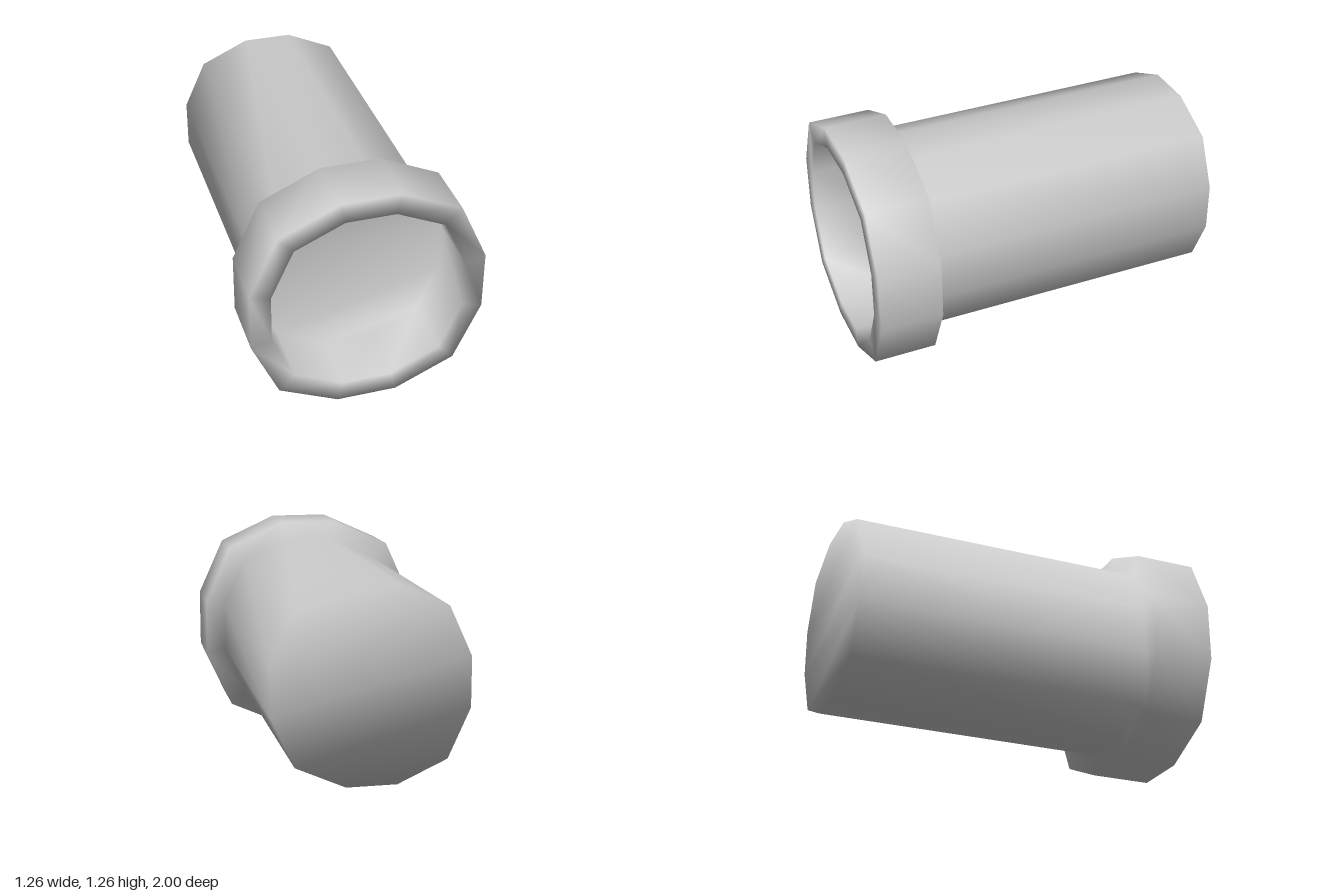
import * as THREE from 'three';

// Twelve-sided outline, counter-clockwise seen from the front
const A = 0.163, B = 0.485, C = 0.631;
const OUTLINE = [
  [A, C], [-A, C], [-B, B], [-C, A], [-C, -A], [-B, -B],
  [-A, -C], [A, -C], [B, -B], [C, -A], [C, A], [B, B],
];
const N = OUTLINE.length;

// One closed, smooth-shaded skin through a list of [scale, z] sections
function skin(sections) {
  const positions = [], index = [];
  const quad = (a, b, c, d) => index.push(a, b, c, a, c, d);
  sections.forEach(([s, z], k) => {
    OUTLINE.forEach(([x, y], i) => {
      positions.push(x * s, y * s, z);
      if (k === 0) return;
      const j = (i + 1) % N, lo = (k - 1) * N, hi = k * N;
      quad(lo + i, lo + j, hi + j, hi + i);
    });
  });
  // End caps, filled in horizontal strips
  const last = (sections.length - 1) * N;
  for (let k = 0; k < N / 2 - 1; k++) {
    const r0 = (N - k) % N, r1 = N - k - 1, l0 = k + 1, l1 = k + 2;
    quad(r1, l1, l0, r0);
    quad(last + r0, last + l0, last + l1, last + r1);
  }
  const geometry = new THREE.BufferGeometry();
  geometry.setAttribute('position', new THREE.Float32BufferAttribute(positions, 3));
  geometry.setIndex(index);
  geometry.computeVertexNormals();
  return geometry;
}

export function createModel() {
  const group = new THREE.Group();
  group.name = 'flangedPipe';
  const bore = 0.824, collarBack = 0.655;

  // Pipe, stepped collar and the recessed mouth in a single surface
  const pipe = new THREE.Mesh(
    skin([
      [bore, -1],          // back end
      [bore, collarBack],  // pipe meets collar
      [1, collarBack],     // collar back
      [1, 1],              // collar front
      [bore, 1],           // inner lip
      [bore, collarBack],  // mouth floor
    ]),
    new THREE.MeshStandardMaterial({ color: 0xcccccc })
  );
  pipe.name = 'pipeWithCollar';
  pipe.position.y = C;
  group.add(pipe);
  return group;
}
